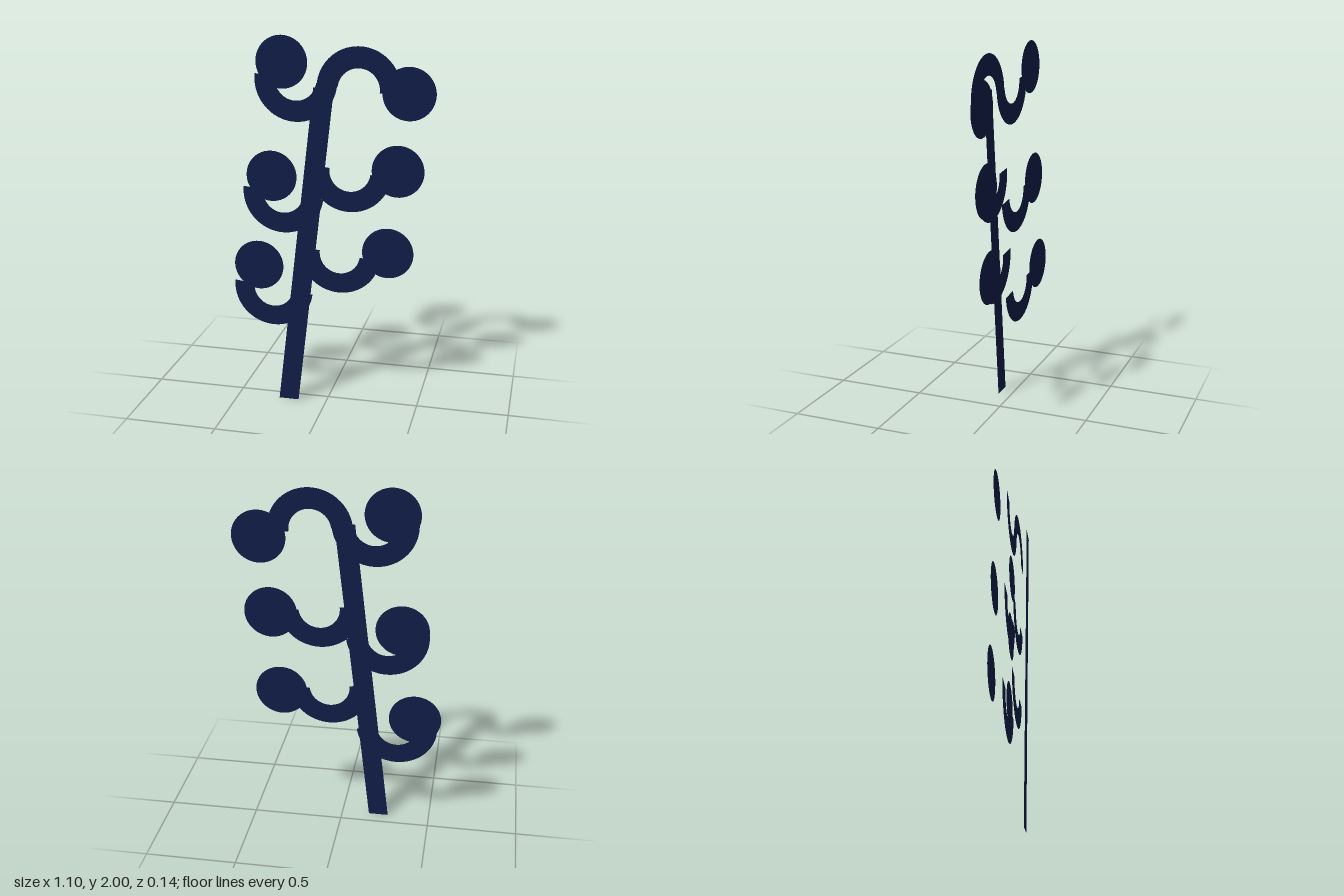
import * as THREE from 'three';

export function createModel() {
  const model = new THREE.Group();
  const navy = new THREE.MeshStandardMaterial({ color: 0x101d47, side: THREE.DoubleSide });
  const tilt = THREE.MathUtils.degToRad(6.8);

  const add = (name, geometry, x, y, z) => {
    const mesh = new THREE.Mesh(geometry, navy);
    mesh.name = name;
    mesh.position.set(x, y, z);
    model.add(mesh);
  };

  // leaning flat stem, the front layer
  const stem = new THREE.Shape([
    new THREE.Vector2(-0.265, 0),
    new THREE.Vector2(-0.155, 0),
    new THREE.Vector2(0.045, 1.755),
    new THREE.Vector2(-0.063, 1.755),
  ]);
  add('stem', new THREE.ShapeGeometry(stem), 0, 0, 0.07);

  // each branch: half-ring centre, berry centre, and whether it arches upward
  const branches = [
    ['lowerRight', -0.309, 0.632, -0.412, 0.73, false],
    ['middleRight', -0.248, 1.173, -0.332, 1.244, false],
    ['upperRight', -0.174, 1.782, -0.269, 1.86, false],
    ['lowerLeft', 0.062, 0.852, 0.311, 0.85, false],
    ['middleLeft', 0.115, 1.311, 0.358, 1.305, false],
    ['upperLeft', 0.158, 1.74, 0.409, 1.716, true],
  ];
  for (const [name, x, y, bx, by, up] of branches) {
    // curled twig in the middle layer, round berry in the back layer
    const start = (up ? 0 : Math.PI) - tilt;
    add(name + 'Twig', new THREE.RingGeometry(0.11, 0.221, 48, 1, start, Math.PI), x, y, 0);
    add(name + 'Berry', new THREE.CircleGeometry(0.14, 64), bx, by, -0.07);
  }
  return model;
}
